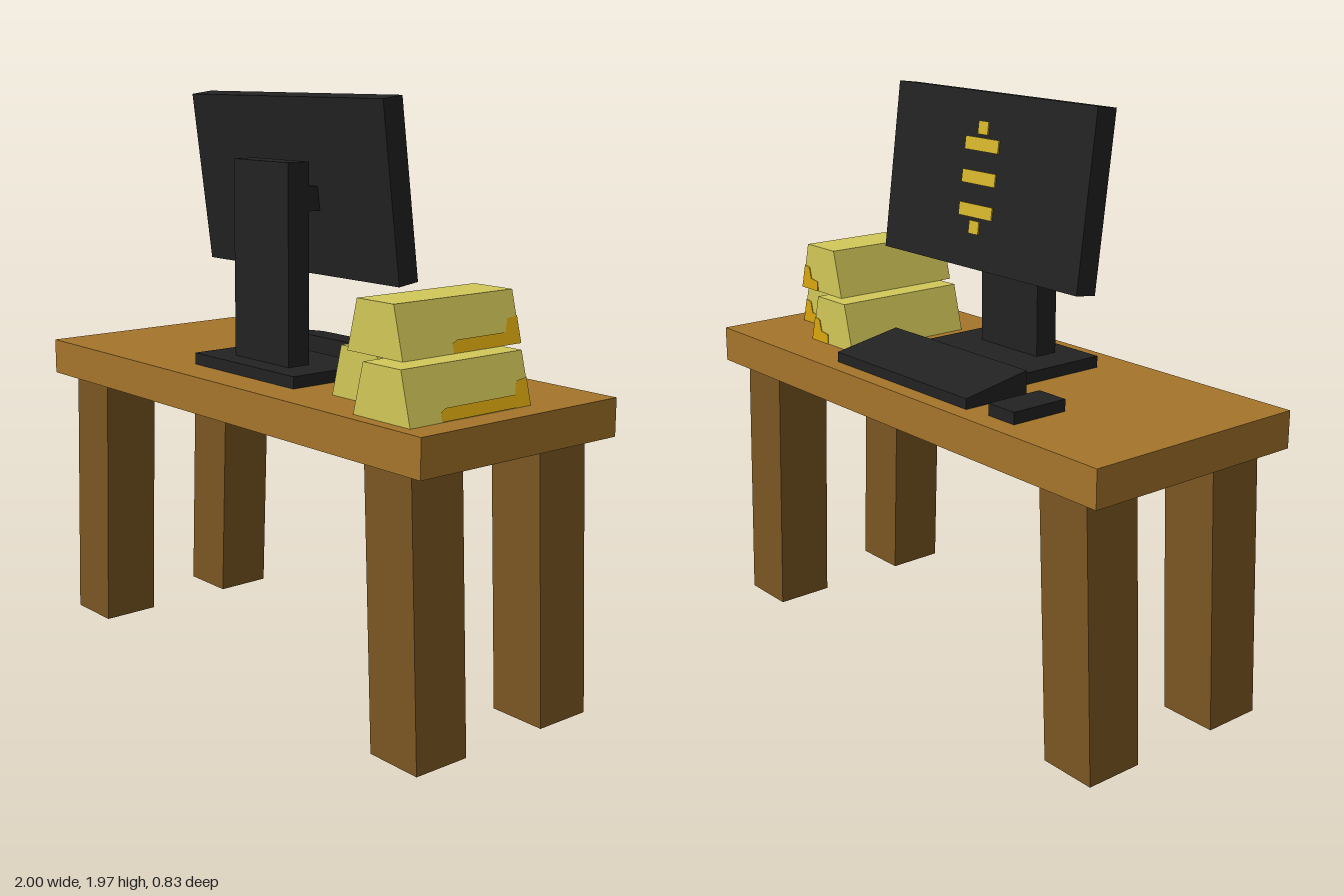
import * as THREE from 'three';

const mat = (name, color, side = THREE.FrontSide) => {
  const m = new THREE.MeshStandardMaterial({ color, side });
  m.name = name;
  return m;
};

const polygon = (pts) => new THREE.Shape(pts.map(([x, y]) => new THREE.Vector2(x, y)));

// Straight prism: an XY outline carried from z0 to z1
const prism = (pts, z0, z1) =>
  new THREE.ExtrudeGeometry(polygon(pts), { depth: z1 - z0, bevelEnabled: false }).translate(0, 0, z0);

export function createModel() {
  const root = new THREE.Group();
  root.name = 'deskWithComputer';

  const wood = mat('deskWood', 0xa5752b);
  const legWood = mat('legWood', 0x7b5622);
  const black = mat('blackPlastic', 0x222222);
  const gold = mat('paleGold', 0xd2c859);
  const shade = mat('deepGold', 0xdca80e, THREE.DoubleSide);
  const emblemGold = mat('emblemGold', 0xd4b42c);

  const add = (parent, name, geometry, material) => {
    const mesh = new THREE.Mesh(geometry, material);
    mesh.name = name;
    parent.add(mesh);
    return mesh;
  };
  // Box given by its limits on each axis
  const box = (parent, name, material, [x0, x1], [y0, y1], [z0, z1]) => {
    const g = new THREE.BoxGeometry(x1 - x0, y1 - y0, z1 - z0);
    g.translate((x0 + x1) / 2, (y0 + y1) / 2, (z0 + z1) / 2);
    return add(parent, name, g, material);
  };

  // Desk top and four legs that splay outwards
  box(root, 'deskTop', wood, [-1, 1], [0.92, 1.045], [-0.415, 0.415]);
  for (const side of [-1, 1]) {
    for (const [name, z0, z1] of [['frontLeg', 0.165, 0.37], ['backLeg', -0.37, -0.165]]) {
      const pts = [[0.75, 0], [0.955, 0], [0.915, 0.92], [0.71, 0.92]].map(([x, y]) => [x * side, y]);
      add(root, name, prism(pts, z0, z1), legWood);
    }
  }

  // Monitor stand
  const monitor = new THREE.Group();
  monitor.name = 'monitor';
  root.add(monitor);
  box(monitor, 'standBase', black, [-0.27, 0.27], [1.045, 1.085], [-0.045, 0.285]);
  box(monitor, 'standColumn', black, [-0.145, 0.145], [1.085, 1.75], [0.12, 0.205]);
  box(monitor, 'bracket', black, [-0.145, 0.145], [1.59, 1.67], [0.06, 0.12]);

  // Tilted screen, facing the back
  const screen = new THREE.Group();
  screen.name = 'screen';
  screen.position.set(0, 1.67, 0.043);
  screen.rotation.x = 0.13;
  monitor.add(screen);
  box(screen, 'screenPanel', black, [-0.5, 0.5], [-0.2925, 0.2925], [-0.04, 0.04]);

  // Abstract gold emblem made of plain stacked plates
  const emblem = new THREE.Group();
  emblem.name = 'screenEmblem';
  emblem.position.set(0.02, 0.01, 0);
  screen.add(emblem);
  for (const [width, y] of [[0.05, 0.165], [0.17, 0.11], [0.17, 0], [0.17, -0.11], [0.05, -0.165]]) {
    box(emblem, 'emblemPlate', emblemGold, [-width / 2, width / 2], [y - 0.022, y + 0.022], [-0.045, -0.04]);
  }

  // Wedge keyboard and mouse
  const keyboard = prism([[-0.355, 1.045], [-0.105, 1.045], [-0.105, 1.125], [-0.355, 1.08]], -0.35, 0.35);
  add(root, 'keyboard', keyboard.rotateY(-Math.PI / 2), black);
  box(root, 'mouse', black, [-0.56, -0.44], [1.045, 1.085], [-0.34, -0.13]);

  // Stack of ingots with darker patches at the lower back corner
  const bars = new THREE.Group();
  bars.name = 'goldBars';
  root.add(bars);
  const H = 0.165, W = 0.247, INSET = 0.042;
  for (const [x, y, z, patch] of [
    [0.415, 1.045, -0.25, 0.37],
    [0.662, 1.045, -0.123, 0.37],
    [0.539, 1.21, -0.205, 0.29],
  ]) {
    const bar = new THREE.Group();
    bar.name = 'goldBar';
    bar.position.set(x, y, z);
    bars.add(bar);
    add(bar, 'ingot', prism([[0, 0], [W, 0], [W - INSET, H], [INSET, H]], 0, 0.495), gold);

    // Side patch, laid onto the sloping face
    const side = new THREE.ShapeGeometry(polygon([
      [0, 0.002], [patch, 0.002], [patch, 0.03], [patch - 0.02, 0.04],
      [0.06, 0.04], [0.045, 0.08], [0, 0.085],
    ]));
    const p = side.attributes.position;
    for (let i = 0; i < p.count; i++) {
      const s = p.getX(i), v = p.getY(i);
      p.setXYZ(i, W - (v * INSET) / H + 0.003, v, s);
    }
    // Reverse the winding so the patch faces outwards
    side.index.array.reverse();
    side.computeVertexNormals();
    add(bar, 'sidePatch', side, shade);

    // End patch, continuing round the corner
    const end = prism([
      [W, 0], [W - (0.085 * INSET) / H, 0.085], [W - 0.05, 0.08], [W - 0.06, 0.04], [W - 0.1, 0.035], [W - 0.1, 0],
    ], -0.003, 0);
    add(bar, 'endPatch', end, shade);
  }

  return root;
}
